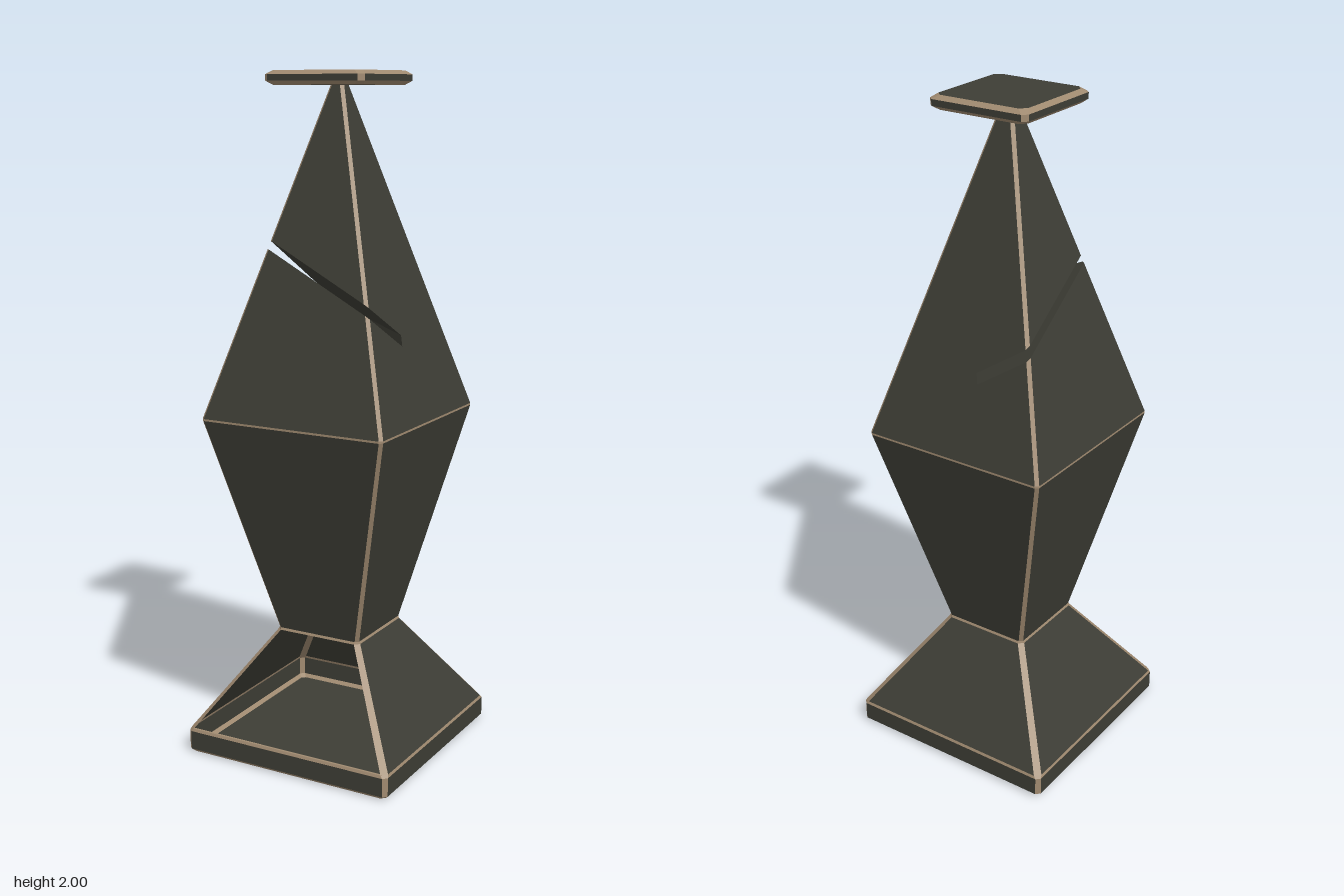
import * as THREE from 'three';

// Square section with small cut corners, counter-clockwise seen from above; side 0 is the front
function ring([y, h, c]) {
  const s = h - c;
  return [[-s, h], [s, h], [h, s], [h, -s], [s, -h], [-s, -h], [-h, -s], [-h, s]]
    .map(([x, z]) => new THREE.Vector3(x, y, z));
}

// Flat polygons between two sections: even sides are panels, odd ones are corner edges
function band(lower, upper, panel, edge, skip = -1) {
  const a = ring(lower), b = ring(upper);
  for (let i = 0; i < 8; i++) {
    if (i === skip) continue;
    const j = (i + 1) % 8;
    (i % 2 ? edge : panel).push([a[i], a[j], b[j], b[i]]);
  }
}

// Keep the part of a polygon where f(point) >= 0, f being linear
function clip(poly, f) {
  const out = [];
  poly.forEach((p, i) => {
    const q = poly[(i + 1) % poly.length], fp = f(p), fq = f(q);
    if (fp >= 0) out.push(p);
    if ((fp > 0 && fq < 0) || (fp < 0 && fq > 0)) out.push(p.clone().lerp(q, fp / (fp - fq)));
  });
  return out;
}
const clipAll = (poly, tests) => tests.reduce((p, f) => clip(p, f), poly);

function polyMesh(name, polys, material) {
  const pos = [];
  for (const p of polys) {
    for (let i = 1; i + 1 < p.length; i++) {
      for (const v of [p[0], p[i], p[i + 1]]) pos.push(v.x, v.y, v.z);
    }
  }
  const g = new THREE.BufferGeometry();
  g.setAttribute('position', new THREE.Float32BufferAttribute(pos, 3));
  g.computeVertexNormals();
  const m = new THREE.Mesh(g, material);
  m.name = name;
  return m;
}

export function createModel() {
  const dark = new THREE.MeshStandardMaterial({ color: 0x3d3d35, side: THREE.DoubleSide, flatShading: true });
  dark.name = 'dark olive';
  const tan = new THREE.MeshStandardMaterial({ color: 0xa08a70, side: THREE.DoubleSide, flatShading: true });
  tan.name = 'tan edge';
  const model = new THREE.Group();
  model.name = 'chessBishop';

  function addPart(name, panels, edges) {
    const g = new THREE.Group();
    g.name = name;
    g.add(polyMesh(name + 'Panels', panels, dark), polyMesh(name + 'Edges', edges, tan));
    model.add(g);
  }

  // Hollow base: plinth, sloping sides open at the front, bevelled rims
  {
    const panels = [], edges = [];
    const floor = [0, 0.325, 0.012], low = [0.01, 0.335, 0.012], high = [0.066, 0.335, 0.012];
    const foot = [0.074, 0.332, 0.016], neck = [0.36, 0.139, 0.014], top = [0.367, 0.136, 0.01];
    panels.push(ring(floor).reverse());
    band(floor, low, edges, edges);
    band(low, high, panels, edges);
    band(high, foot, edges, edges);
    band(foot, neck, panels, edges, 0);
    band(neck, top, edges, edges);
    // Lip along the open front
    edges.push([[-0.32, 0.332], [0.32, 0.332], [0.32, 0.325], [-0.32, 0.325]]
      .map(([x, z]) => new THREE.Vector3(x, 0.074, z)));
    addPart('base', panels, edges);
  }

  // Lower body flaring upward, with the waist seam
  {
    const panels = [], edges = [];
    const waist = [1.017, 0.293, 0.009];
    band([0.367, 0.136, 0.01], waist, panels, edges);
    band(waist, [1.023, 0.293, 0.009], edges, edges);
    addPart('lowerBody', panels, edges);
  }

  // Upper body: tall taper with a slanting slot cut in from the front corner
  {
    const y0 = 1.023, h0 = 0.293, y1 = 1.966, h1 = 0.02, c = 0.009;
    const panels = [], edges = [], cutPanels = [], cutEdges = [];
    band([y0, h0, c], [y1, h1, c], panels, edges);

    const depth = (p) => p.z - p.x + 0.18;
    const mid = (x, z) => 1.355 + 0.55 * (z - x);
    const above = (p) => p.y - mid(p.x, p.z) - 0.015;
    const below = (p) => mid(p.x, p.z) - 0.015 - p.y;
    const regions = [[(p) => -depth(p)], [depth, above], [depth, below]];
    for (const [src, dst] of [[panels, cutPanels], [edges, cutEdges]]) {
      for (const p of src) for (const r of regions) dst.push(clipAll(p, r));
    }

    // Half-spaces of the taper, used to trim the slot walls
    const h = (y) => h0 + (h1 - h0) * (y - y0) / (y1 - y0);
    const inside = [];
    for (const s of [1, -1]) {
      inside.push((p) => h(p.y) - s * p.x, (p) => h(p.y) - s * p.z);
      for (const t of [1, -1]) inside.push((p) => 2 * h(p.y) - c - s * p.x - t * p.z);
    }
    const square = [[-0.5, 0.5], [0.5, 0.5], [0.5, -0.5], [-0.5, -0.5]];
    for (const d of [-0.015, 0.015]) {
      const wall = square.map(([x, z]) => new THREE.Vector3(x, mid(x, z) + d, z));
      if (d > 0) wall.reverse();
      cutPanels.push(clipAll(wall, [...inside, depth]));
    }
    const yEnd = mid(0.18, 0);
    const end = [[-0.4, -0.015], [0.4, -0.015], [0.4, 0.015], [-0.4, 0.015]]
      .map(([t, d]) => new THREE.Vector3(t + 0.09, yEnd + d, t - 0.09));
    cutPanels.push(clipAll(end, inside).reverse());
    addPart('upperBody', cutPanels, cutEdges);
  }

  // Square cap with bevelled rims
  {
    const panels = [], edges = [];
    const b0 = [1.96, 0.143, 0.018], b1 = [1.971, 0.157, 0.014];
    const t1 = [1.989, 0.157, 0.014], t0 = [2, 0.143, 0.018];
    panels.push(ring(b0).reverse(), ring(t0));
    band(b0, b1, edges, edges);
    band(b1, t1, panels, edges);
    band(t1, t0, edges, edges);
    addPart('cap', panels, edges);
  }

  return model;
}
